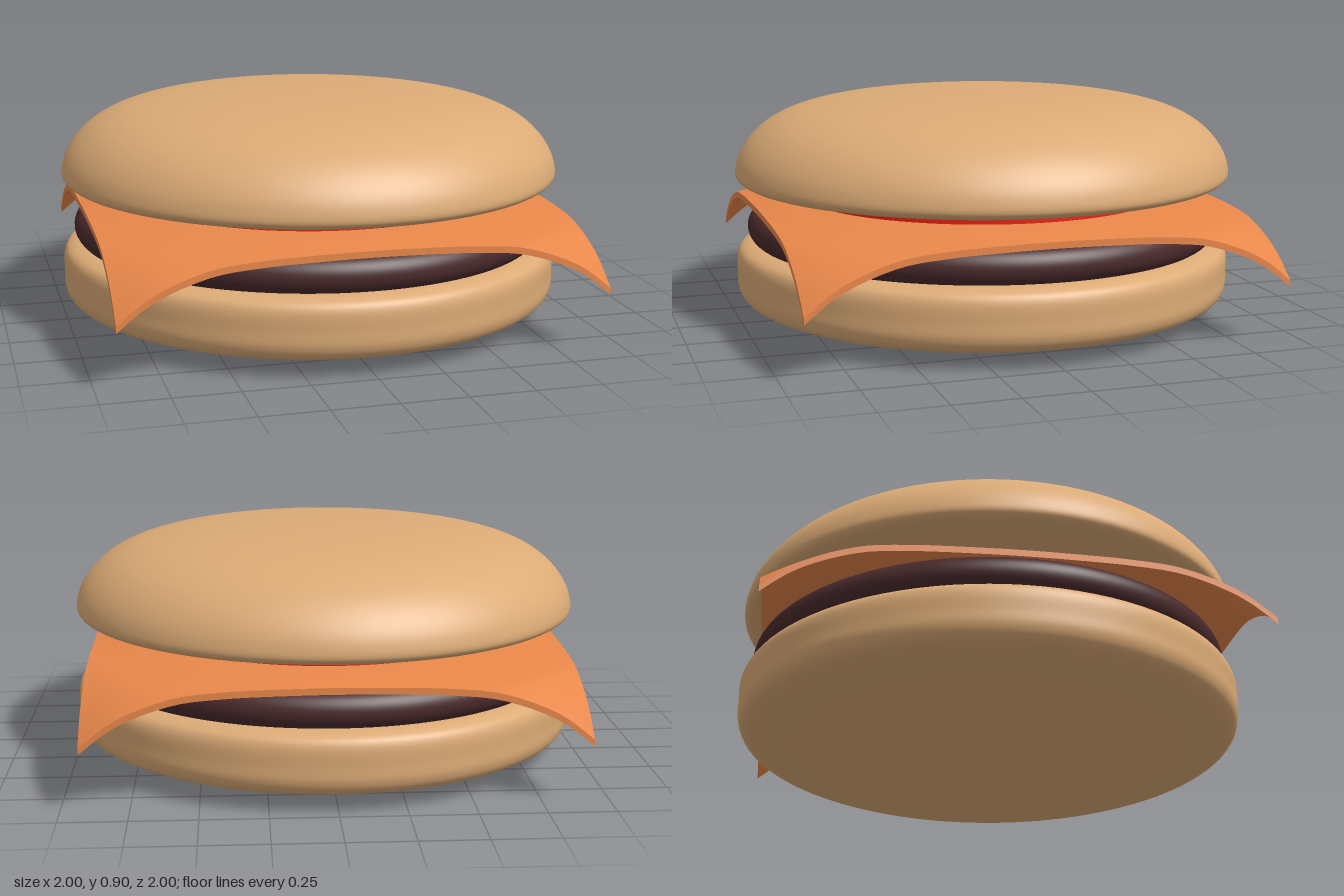
import * as THREE from 'three';

const material = (color) => new THREE.MeshStandardMaterial({ color });

// Smooth solid of revolution from [radius, height] points, bottom to top
function turned(name, points, mat) {
  const curve = new THREE.CatmullRomCurve3(
    points.map(([r, y]) => new THREE.Vector3(r, y, 0)), false, 'centripetal');
  const profile = curve.getPoints(points.length * 5)
    .map((p) => new THREE.Vector2(Math.max(p.x, 0), p.y));
  const mesh = new THREE.Mesh(new THREE.LatheGeometry(profile, 96), mat);
  mesh.name = name;
  return mesh;
}

// Square slice that droops with distance from the centre
function cheeseSlice() {
  const size = 1.85, thickness = 0.025, top = 0.49;
  const droop = new THREE.SplineCurve([
    [0, 0], [0.55, 0], [0.8, 0.016], [0.925, 0.035], [1.01, 0.045],
    [1.1, 0.068], [1.22, 0.145], [1.31, 0.245],
  ].map(([r, d]) => new THREE.Vector2(r, d))).getPoints(200);

  const geometry = new THREE.BoxGeometry(size, thickness, size, 40, 1, 40);
  const pos = geometry.attributes.position;
  for (let i = 0; i < pos.count; i++) {
    const r = Math.hypot(pos.getX(i), pos.getZ(i));
    const k = droop.findIndex((p) => p.x >= r);
    const drop = droop[k < 0 ? droop.length - 1 : k];
    const before = droop[Math.max((k < 0 ? droop.length : k) - 1, 0)];
    const t = drop.x > before.x ? (r - before.x) / (drop.x - before.x) : 0;
    const d = before.y + (drop.y - before.y) * Math.min(t, 1);
    pos.setY(i, pos.getY(i) + top - thickness / 2 - d);
  }
  geometry.computeVertexNormals();
  const mesh = new THREE.Mesh(geometry, material(0xe8874a));
  mesh.name = 'cheeseSlice';
  return mesh;
}

export function createModel() {
  const model = new THREE.Group();
  model.name = 'burger';
  const bread = material(0xdcab76);

  // Lower bun: gently domed underside, straight wall, soft upper rim
  model.add(turned('bottomBun', [
    [0, 0], [0.35, 0.005], [0.65, 0.018], [0.83, 0.037], [0.93, 0.06], [0.98, 0.088],
    [0.998, 0.125], [1, 0.18], [0.999, 0.25], [0.985, 0.28], [0.95, 0.298],
    [0.88, 0.306], [0.5, 0.308], [0, 0.308],
  ], bread));

  // Patty: flat disc with a fully rounded edge
  const patty = [[0, 0.295], [0.5, 0.295]];
  for (let i = 0; i <= 8; i++) {
    const a = -Math.PI / 2 + (i / 8) * Math.PI;
    patty.push([0.885 + 0.07 * Math.cos(a), 0.365 + 0.07 * Math.sin(a)]);
  }
  patty.push([0.5, 0.455], [0, 0.46]);
  model.add(turned('patty', patty, material(0x4a2a2c)));

  model.add(cheeseSlice());

  // Tomato disc
  const tomato = new THREE.Mesh(
    new THREE.CylinderGeometry(0.75, 0.75, 0.05, 96), material(0xe8200c));
  tomato.name = 'tomatoSlice';
  tomato.position.y = 0.515;
  model.add(tomato);

  // Upper bun: flat base, tight lower rim, broad dome
  model.add(turned('topBun', [
    [0, 0.53], [0.5, 0.53], [0.8, 0.533], [0.92, 0.542], [0.98, 0.555], [0.999, 0.575],
    [0.995, 0.62], [0.975, 0.67], [0.935, 0.725], [0.87, 0.78], [0.77, 0.828],
    [0.6, 0.868], [0.35, 0.893], [0.15, 0.9], [0, 0.902],
  ], bread));

  return model;
}
